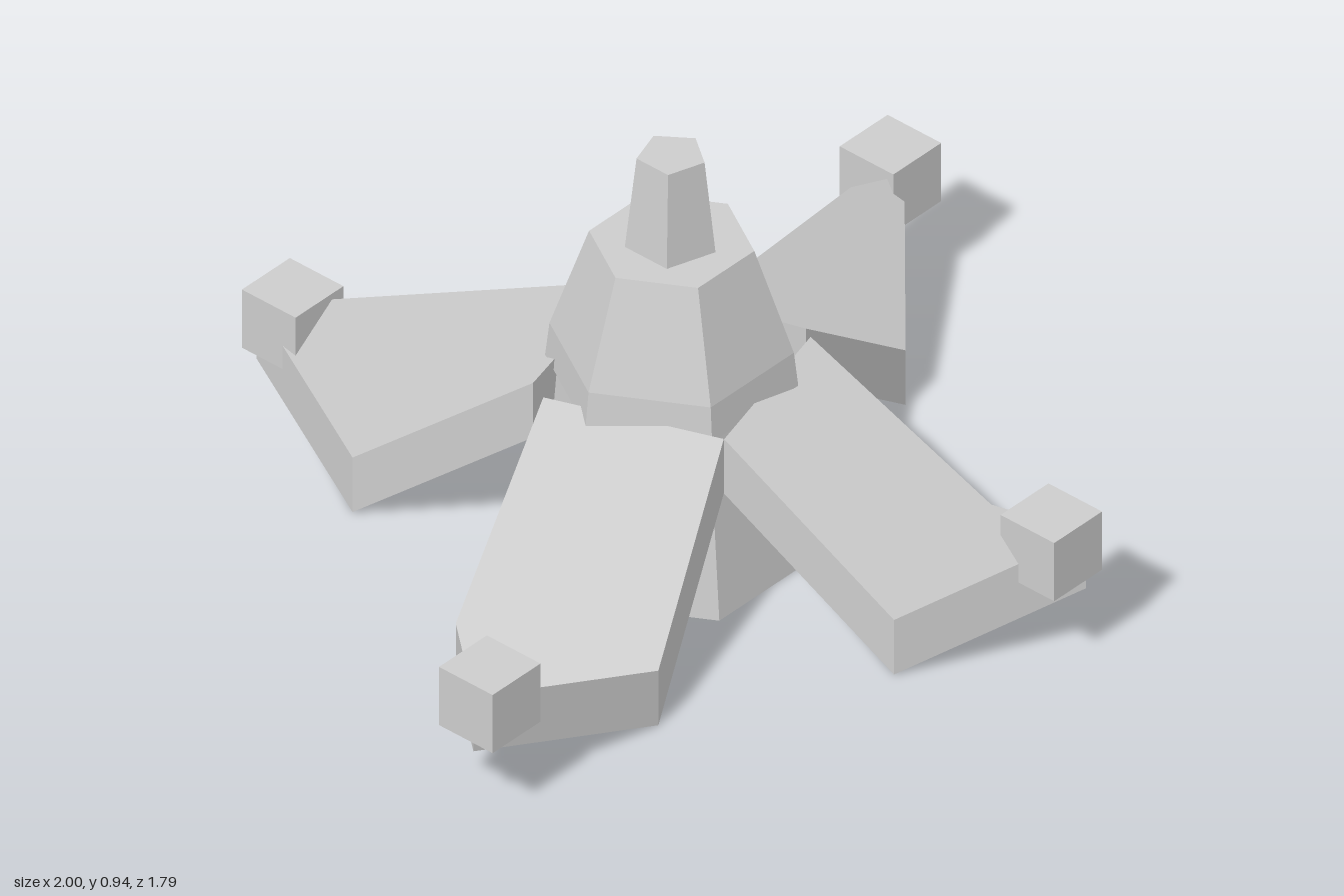
import * as THREE from 'three';

export function createModel() {
  const model = new THREE.Group();
  const grey = new THREE.MeshStandardMaterial({ color: 0xcccccc, side: THREE.DoubleSide });
  grey.name = 'plain grey';
  const axisX = -0.014;

  function add(name, geometry, x = 0, y = 0, z = 0) {
    const mesh = new THREE.Mesh(geometry, grey);
    mesh.name = name;
    mesh.position.set(x, y, z);
    model.add(mesh);
  }

  // One normal per face
  function faceted(geometry) {
    const g = geometry.toNonIndexed();
    g.computeVertexNormals();
    return g;
  }

  // Tapered prism standing on the axis, with one corner towards +x
  function prism(name, sides, rBottom, rTop, y0, y1, open = false) {
    const g = new THREE.CylinderGeometry(rTop, rBottom, y1 - y0, sides, 1, open, Math.PI / 2);
    add(name, faceted(g), axisX, (y0 + y1) / 2, 0);
  }

  // Hollow skirt, collar, upper body and spire
  prism('skirt', 6, 0.305, 0.245, 0, 0.42, true);
  prism('collar', 6, 0.259, 0.25, 0.41, 0.49);
  prism('upperBody', 6, 0.25, 0.169, 0.49, 0.73);
  prism('spire', 5, 0.096, 0.072, 0.73, 0.945);

  // Wing shell, open below: a folded five-cornered top with a skirt of walls.
  // Corners run root, outer, tip, outer, root.
  const cornerHeights = [0.435, 0.135, 0.29, 0.135, 0.435];
  const wallHeight = 0.135;
  function wingGeometry(outline) {
    const n = outline.length;
    const top = outline.map(([x, z], i) => new THREE.Vector3(x, cornerHeights[i], z));
    const low = top.map((p) => new THREE.Vector3(p.x, p.y - wallHeight, p.z));
    const points = [];
    for (let i = 1; i < n - 1; i++) points.push(top[0], top[i], top[i + 1]);
    const topCount = points.length;
    for (let i = 0; i < n; i++) {
      const j = (i + 1) % n;
      points.push(top[i], low[i], low[j], top[i], low[j], top[j]);
    }
    const g = new THREE.BufferGeometry().setFromPoints(points);
    g.computeVertexNormals();

    // The folded top is shaded as a single face
    const normal = new THREE.Vector3();
    top.forEach((p, i) => normal.add(p.clone().cross(top[(i + 1) % n])));
    normal.normalize();
    for (let i = 0; i < topCount; i++) g.attributes.normal.setXYZ(i, normal.x, normal.y, normal.z);
    return g;
  }

  // Four wings a quarter turn apart, each with a block at its tip
  const wings = [
    { name: 'left', block: [0.928, -0.254],
      outline: [[0.245, 0.13], [0.63, 0.053], [0.985, -0.268], [0.52, -0.37], [0.13, -0.245]] },
    { name: 'front', block: [0.207, 0.822],
      outline: [[-0.145, 0.258], [-0.07, 0.647], [0.246, 0.88], [0.353, 0.53], [0.23, 0.155]] },
    { name: 'right', block: [-0.928, 0.328],
      outline: [[-0.28, -0.107], [-0.663, 0], [-0.985, 0.335], [-0.513, 0.41], [-0.145, 0.257]] },
    { name: 'back', block: [-0.233, -0.822],
      outline: [[0.12, -0.25], [0.037, -0.647], [-0.277, -0.88], [-0.38, -0.53], [-0.257, -0.155]] },
  ];
  for (const { name, block, outline } of wings) {
    add(name + 'Wing', wingGeometry(outline));
    add(name + 'TipBlock', new THREE.BoxGeometry(0.144, 0.144, 0.144), block[0], 0.262, block[1]);
  }

  return model;
}
